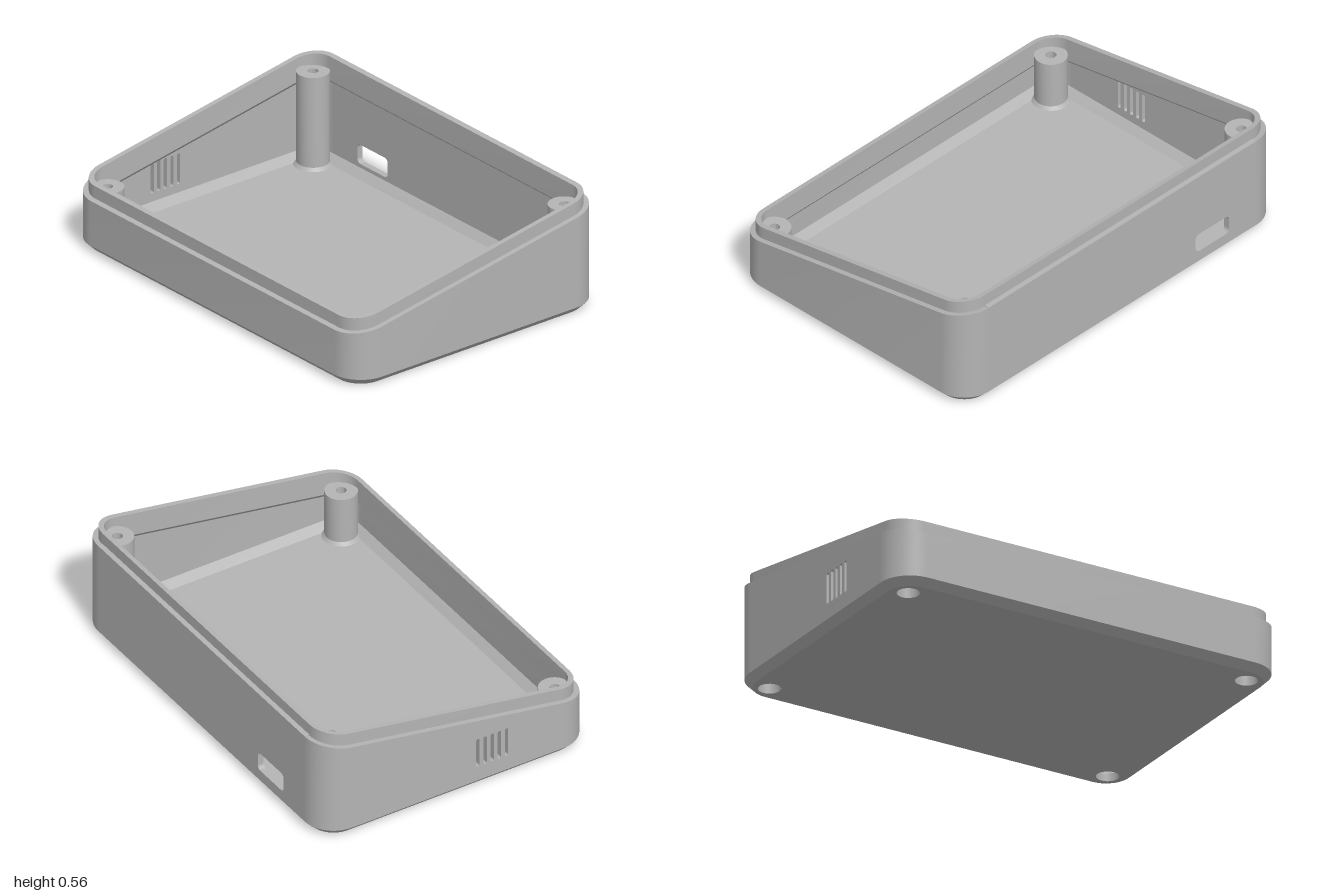
import * as THREE from 'three';
import { mergeGeometries, toCreasedNormals } from 'three/addons/utils/BufferGeometryUtils.js';

const HX = 1, HZ = 0.706, R = 0.15;   // half sizes and corner radius of the body
const CX = HX - R, CZ = HZ - R;       // corner arc centres
const WALL = 0.03, CHAMFER = 0.035, FLOOR = 0.035;
const POST_X = 0.877, POST_Z = 0.587, HEAD_R = 0.052;
const CORNER_STEPS = 12;

const plastic = new THREE.MeshStandardMaterial({ color: 0xb4b4b4 });
plastic.name = 'grey plastic';

// Height functions: level, or parallel to the sloping rim
const level = (y) => () => y;
const rim = (offset) => (z) => 0.3775 - 0.1735 * z + offset;

// Rounded-rectangle loop, moved inward from the body outline
function ring(inset, height) {
  const pts = [];
  for (let c = 0; c < 4; c++) {
    const sx = c < 2 ? 1 : -1, sz = c === 0 || c === 3 ? 1 : -1;
    for (let i = 0; i <= CORNER_STEPS; i++) {
      const a = (c + i / CORNER_STEPS) * Math.PI / 2;
      const x = sx * CX + (R - inset) * Math.sin(a);
      const z = sz * CZ + (R - inset) * Math.cos(a);
      pts.push([x, height(z), z]);
    }
  }
  return pts;
}

// Joins successive loops; openSides lists straight sides (0 left, 1 back, 2 right) left open
function loft(steps, openSides = []) {
  const pos = [];
  const rings = steps.map(([inset, height]) => ring(inset, height));
  for (let k = 0; k < rings.length - 1; k++) {
    const lo = rings[k], hi = rings[k + 1], n = lo.length;
    for (let i = 0; i < n; i++) {
      if (openSides.some((s) => i === (s + 1) * (CORNER_STEPS + 1) - 1)) continue;
      const j = (i + 1) % n;
      pos.push(...lo[i], ...lo[j], ...hi[j], ...lo[i], ...hi[j], ...hi[i]);
    }
  }
  const g = new THREE.BufferGeometry();
  g.setAttribute('position', new THREE.Float32BufferAttribute(pos, 3));
  g.computeVertexNormals();
  return g;
}

// Rounded rectangle path centred on (x, y)
function roundRect(path, x, y, w, h, r) {
  const a = w / 2 - r, b = h / 2 - r, q = Math.PI / 2;
  path.absarc(x + a, y + b, r, 0, q);
  path.absarc(x - a, y + b, r, q, 2 * q);
  path.absarc(x - a, y - b, r, 2 * q, 3 * q);
  path.absarc(x + a, y - b, r, 3 * q, 4 * q);
  path.closePath();
  return path;
}

// Flat plate with four screw holes
function plate(inset, holeR) {
  const s = roundRect(new THREE.Shape(), 0, 0, 2 * (HX - inset), 2 * (HZ - inset), R - inset);
  for (const x of [-POST_X, POST_X]) for (const z of [-POST_Z, POST_Z]) {
    s.holes.push(new THREE.Path().absarc(x, z, holeR, 0, Math.PI * 2, true));
  }
  return new THREE.ShapeGeometry(s, 12);
}

// Wall panel with cut-outs, extruded through the wall thickness
function panel(corners, holes) {
  const s = new THREE.Shape(corners.map(([x, y]) => new THREE.Vector2(x, y)));
  s.holes = holes;
  return new THREE.ExtrudeGeometry(s, { depth: WALL, bevelEnabled: false, curveSegments: 6 });
}

export function createModel() {
  const model = new THREE.Group();
  model.name = 'enclosureBase';
  const add = (name, geometry) => {
    const m = new THREE.Mesh(geometry, plastic);
    m.name = name;
    model.add(m);
    return m;
  };
  const smooth = (...parts) => toCreasedNormals(mergeGeometries(parts), 0.5);

  // Outer skin: bottom chamfer and walls
  add('outerShell', smooth(
    loft([[CHAMFER, level(0)], [0, level(CHAMFER)]]),
    loft([[0, level(CHAMFER)], [0, rim(0)]], [1, 2]),
  ));

  // Lid seat, raised lip and the sloped underside of the lip
  add('rimLip', smooth(loft([
    [0, rim(0)], [0.025, rim(0)], [0.025, rim(0.06)],
    [0.05, rim(0.06)], [0.05, rim(-0.057)], [WALL, rim(-0.08)],
  ])));

  // Cavity walls and the chamfer down to the floor
  add('innerShell', smooth(
    loft([[WALL, rim(-0.08)], [WALL, level(0.07)]], [1, 2]),
    loft([[WALL, level(0.07)], [0.065, level(FLOOR)]]),
  ));

  add('floor', plate(0.065, 0.04).rotateX(-Math.PI / 2)).position.y = FLOOR;
  add('underside', plate(CHAMFER, HEAD_R).rotateX(Math.PI / 2));

  // Back wall with the connector opening
  const top = rim(0);
  const port = roundRect(new THREE.Path(), -0.57, 0.135, 0.212, 0.094, 0.022);
  add('backWall', panel(
    [[-CX, CHAMFER], [CX, CHAMFER], [CX, top(-HZ)], [-CX, top(-HZ)]], [port],
  )).position.z = -HZ;

  // Side wall with a row of vent slits
  const slits = [];
  for (let i = 0; i < 5; i++) {
    slits.push(roundRect(new THREE.Path(), 0.106 + i * 0.0375, 0.185, 0.018, 0.15, 0.008));
  }
  add('ventWall', panel(
    [[-CZ, CHAMFER], [CZ, CHAMFER], [CZ, top(CZ)], [-CZ, top(-CZ)]], slits,
  ).rotateY(-Math.PI / 2)).position.x = -HX + WALL;

  // Screw posts: flared foot, through hole and a head recess from below
  for (const sx of [-1, 1]) for (const sz of [-1, 1]) {
    const h = sz < 0 ? 0.49 : 0.28;
    const profile = [
      [0.088, FLOOR], [0.075, 0.05], [0.075, h], [0.024, h],
      [0.024, 0.1], [HEAD_R, 0.1], [HEAD_R, 0],
    ].map(([r, y]) => new THREE.Vector2(r, y));
    const post = add('screwPost', toCreasedNormals(new THREE.LatheGeometry(profile, 32), 0.5));
    post.position.set(sx * POST_X, 0, sz * POST_Z);
  }

  return model;
}
